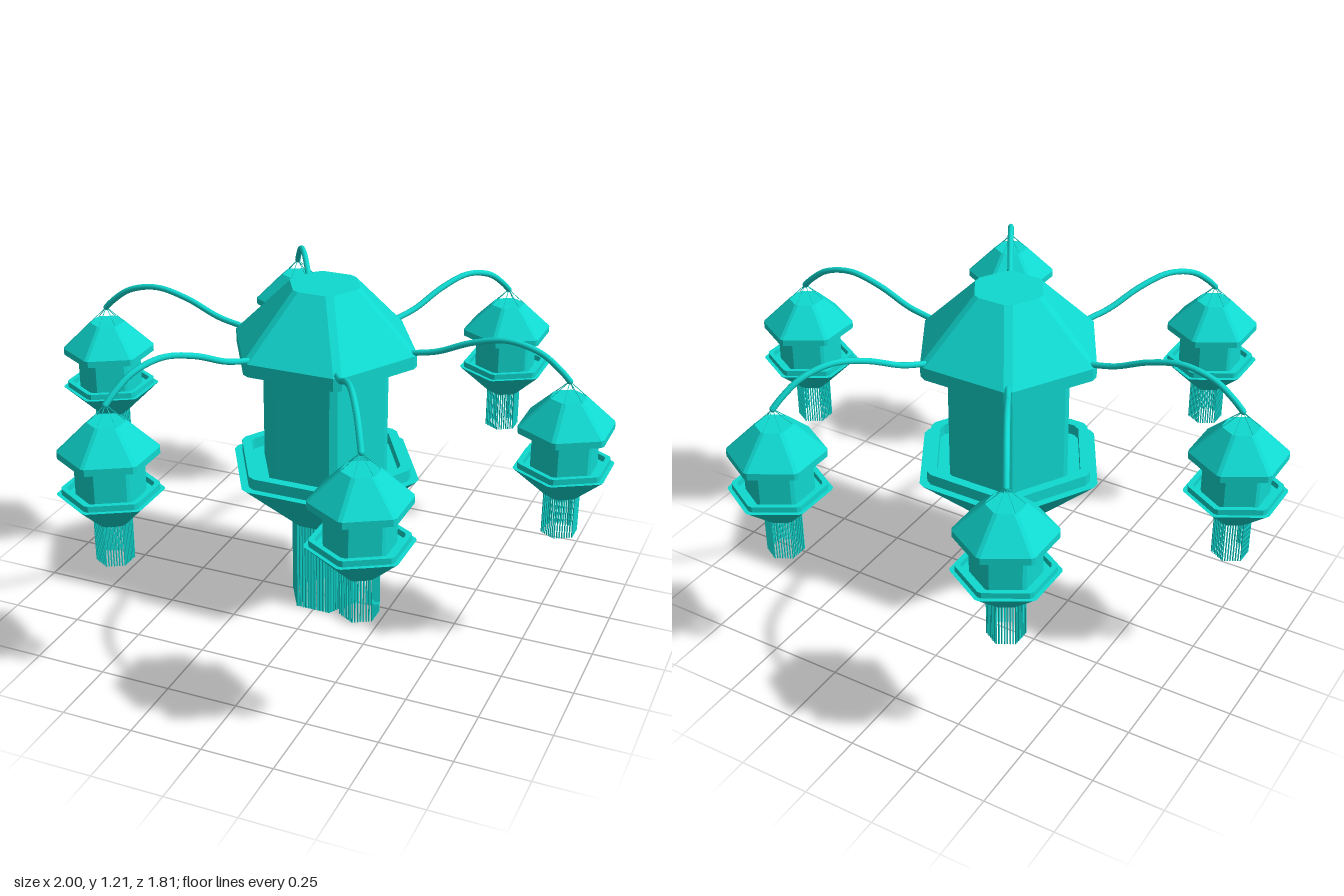
import * as THREE from 'three';
import { mergeGeometries } from 'three/addons/utils/BufferGeometryUtils.js';

const teal = new THREE.MeshStandardMaterial({ color: 0x0fd9d0, flatShading: true });
const smoothTeal = new THREE.MeshStandardMaterial({ color: 0x0fd9d0 });

// Corner k of a hexagon of circumradius r
const corner = (r, k, y = 0) =>
  new THREE.Vector3(r * Math.cos(k * Math.PI / 3), y, r * Math.sin(k * Math.PI / 3));

// Six-sided solid with slightly bevelled corners from a profile of [radius, y]
function hexSolid(profile, bevel) {
  const loops = profile.map(([r, y]) => {
    const loop = [];
    const t = Math.min(0.5, r > 0 ? bevel / r : 0);
    for (let k = 0; k < 6; k++) {
      const c = corner(r, k, y);
      loop.push(c.clone().lerp(corner(r, k - 1, y), t), c.clone().lerp(corner(r, k + 1, y), t));
    }
    return loop;
  });
  const pos = [];
  const tri = (...pts) => pts.forEach(p => pos.push(p.x, p.y, p.z));
  for (let j = 0; j < loops.length - 1; j++) {
    for (let i = 0; i < 12; i++) {
      const n = (i + 1) % 12;
      const a = loops[j][i], b = loops[j][n], c = loops[j + 1][i], d = loops[j + 1][n];
      if (profile[j][0] > 0) tri(a, c, b);
      if (profile[j + 1][0] > 0) tri(b, c, d);
    }
  }
  const g = new THREE.BufferGeometry();
  g.setAttribute('position', new THREE.Float32BufferAttribute(pos, 3));
  g.computeVertexNormals();
  return g;
}

// Thin straight rod between two points
function rod(a, b, radius) {
  const dir = b.clone().sub(a);
  const g = new THREE.CylinderGeometry(radius, radius, dir.length(), 5);
  g.applyQuaternion(new THREE.Quaternion().setFromUnitVectors(
    new THREE.Vector3(0, 1, 0), dir.clone().normalize()));
  const m = a.clone().add(b).multiplyScalar(0.5);
  return g.translate(m.x, m.y, m.z);
}

// Lantern: s scales the widths, the y values are absolute heights
function lantern(name, s, y, perSide, stringRadius) {
  const group = new THREE.Group();
  group.name = name;
  const add = (part, geometry) => {
    const mesh = new THREE.Mesh(geometry, teal);
    mesh.name = part;
    group.add(mesh);
  };
  const bevel = 0.016 * s;
  const solid = pts => hexSolid(pts.map(([r, h]) => [r * s, h]), bevel);

  add('roof', solid([[0, y.eave], [0.3, y.eave], [0.3, y.bodyTop], [0.335, y.bodyTop],
    [0.335, y.eave], [0.13, y.top], [0, y.top]]));
  add('body', solid([[0, y.tray], [0.235, y.tray], [0.235, y.eave], [0, y.eave]]));
  add('tray', solid([[0, y.funnel], [0.13, y.funnel], [0.353, y.tray], [0.323, y.tray],
    [0.323, y.rim], [0.285, y.rim], [0.285, y.tray], [0, y.tray]]));

  // Fringe strings hang along the hexagon outline
  const strings = [];
  for (let k = 0; k < 6; k++) {
    for (let i = 0; i < perSide; i++) {
      const p = corner(0.122 * s, k).lerp(corner(0.122 * s, k + 1), i / perSide);
      strings.push(rod(new THREE.Vector3(p.x, y.bottom, p.z),
        new THREE.Vector3(p.x, y.funnel + 0.005, p.z), stringRadius));
    }
  }
  add('fringe', mergeGeometries(strings));
  return group;
}

export function createModel() {
  const model = new THREE.Group();
  model.name = 'lanternChandelier';

  model.add(lantern('mainLantern', 1,
    { bottom: 0, funnel: 0.335, tray: 0.54, rim: 0.58, bodyTop: 0.96, eave: 1.005, top: 1.21 },
    11, 0.0052));

  const armCurve = new THREE.CatmullRomCurve3(
    [[0.31, 1.01], [0.4, 1.03], [0.52, 1.08], [0.64, 1.105], [0.75, 1.08], [0.82, 1.03], [0.85, 1.0]]
      .map(([x, h]) => new THREE.Vector3(x, h, 0)));
  const armGeometry = new THREE.TubeGeometry(armCurve, 32, 0.0105, 8);
  const tipCap = new THREE.SphereGeometry(0.0105, 8, 6);

  // Six arms, each carrying a small lantern on thin wires
  for (let k = 0; k < 6; k++) {
    const branch = new THREE.Group();
    branch.name = 'branch' + (k + 1);
    branch.rotation.y = k * Math.PI / 3;

    const arm = new THREE.Mesh(armGeometry, smoothTeal);
    arm.name = 'arm';
    const cap = new THREE.Mesh(tipCap, smoothTeal);
    cap.name = 'armTip';
    cap.position.set(0.85, 1.0, 0);

    const small = lantern('smallLantern', 0.492,
      { bottom: 0.455, funnel: 0.6, tray: 0.7, rim: 0.72, bodyTop: 0.827, eave: 0.85, top: 0.945 },
      7, 0.0026);
    small.position.x = 0.85;
    small.rotation.y = Math.PI / 6;

    const wires = [];
    for (let i = 0; i < 6; i++)
      wires.push(rod(corner(0.06, i, 0.944), new THREE.Vector3(0, 1.0, 0), 0.0013));
    const wireMesh = new THREE.Mesh(mergeGeometries(wires), teal);
    wireMesh.name = 'hangingWires';
    small.add(wireMesh);

    branch.add(arm, cap, small);
    model.add(branch);
  }
  return model;
}
